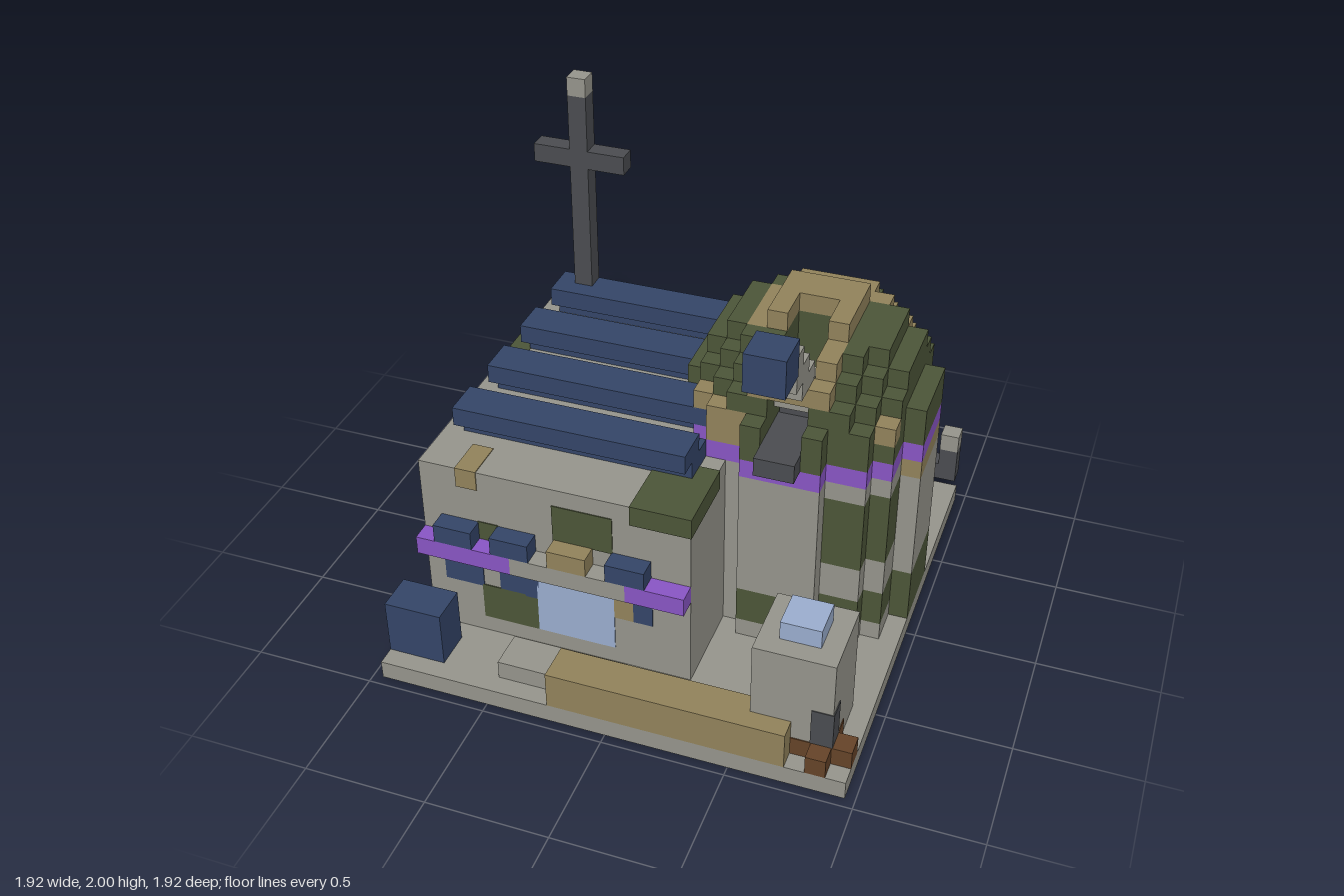
import * as THREE from 'three';
import { mergeGeometries } from 'three/addons/utils/BufferGeometryUtils.js';

const U = 0.08; // edge length of one block

export function createModel() {
  const model = new THREE.Group();
  model.name = 'observatory';
  const paint = (name, hex) => {
    const m = new THREE.MeshStandardMaterial({ color: hex });
    m.name = name;
    return m;
  };
  const grey = paint('stone grey', 0x97968d), olive = paint('moss green', 0x4d5639);
  const navy = paint('panel navy', 0x354669), tan = paint('weathered tan', 0x93845c);
  const brown = paint('wood brown', 0x664429), dark = paint('iron dark', 0x4b4d51);
  const purple = paint('purple', 0x8a56c6), blue = paint('pale blue', 0x9cafd0);

  const boxGeo = (x0, x1, y0, y1, z0, z1, grow = 0) =>
    new THREE.BoxGeometry(x1 - x0 + grow * 2, y1 - y0 + grow * 2, z1 - z0 + grow * 2)
      .translate((x0 + x1) / 2, (y0 + y1) / 2, (z0 + z1) / 2);
  const add = (name, mat, geo) => {
    const mesh = new THREE.Mesh(geo, mat);
    mesh.name = name;
    model.add(mesh);
  };
  const box = (name, mat, ...b) => add(name, mat, boxGeo(...b));
  // Painted patch: a box sunk into the wall, showing 0.004 proud of it
  const patch = (name, mat, ...b) => add(name, mat, boxGeo(...b, 0.004));

  // Ground slab and main hall
  box('ground slab', grey, -0.96, 0.96, 0, 0.08, -0.96, 0.96);
  box('hall', grey, -0.88, 0.24, 0.08, 0.88, -0.8, 0.64);

  // Moss and wear on the hall
  [
    [0, 0.24, 0.8, 0.88, 0.32, 0.64], [-0.32, -0.08, 0.64, 0.8, 0.6, 0.64],
    [-0.64, -0.4, 0.16, 0.32, 0.6, 0.64], [-0.64, -0.56, 0.56, 0.64, 0.6, 0.64],
    [0, 0.24, 0.64, 0.88, -0.8, -0.48], [-0.64, -0.32, 0.72, 0.88, -0.8, -0.72],
    [-0.48, -0.32, 0.48, 0.72, -0.8, -0.76], [-0.8, -0.64, 0.32, 0.56, -0.8, -0.76],
    [-0.88, -0.64, 0.72, 0.88, -0.48, -0.4], [-0.88, -0.8, 0.72, 0.88, -0.4, -0.16],
    [-0.32, -0.08, 0.84, 0.88, -0.16, -0.08], [-0.88, -0.84, 0.48, 0.64, 0.4, 0.56],
  ].forEach((b) => patch('moss', olive, ...b));
  patch('wall stain', tan, -0.72, -0.64, 0.8, 0.88, 0.48, 0.64);
  patch('door jamb', tan, -0.08, 0, 0.32, 0.48, 0.6, 0.64);
  patch('door', blue, -0.4, -0.08, 0.16, 0.48, 0.6, 0.64);

  // Front trim, windows and door lintel
  box('left trim', purple, -0.88, -0.48, 0.48, 0.56, 0.64, 0.72);
  box('right trim', purple, 0, 0.24, 0.48, 0.56, 0.64, 0.72);
  box('door lintel', grey, -0.48, 0, 0.48, 0.56, 0.64, 0.72);
  box('lintel block', tan, -0.32, -0.16, 0.56, 0.64, 0.64, 0.72);
  [[-0.8, -0.64], [-0.56, -0.4], [-0.08, 0.08]].forEach(([a, b]) => {
    box('window hood', navy, a, b, 0.56, 0.64, 0.64, 0.72);
    patch('window', navy, Math.max(a, a < -0.2 ? a : 0), b, 0.32, 0.48, 0.6, 0.64);
  });

  // Side windows
  [[-0.64, -0.48, tan], [-0.32, -0.24, navy], [-0.16, 0, navy], [0.08, 0.16, tan]].forEach(([a, b, m]) =>
    box('side window', m, -0.96, -0.88, 0.32, 0.64, a, b));
  box('side window', navy, -0.96, -0.88, 0.48, 0.64, 0.24, 0.4);
  box('side window base', tan, -0.96, -0.88, 0.32, 0.48, 0.24, 0.4);

  // Tilted roof panels, each two stepped layers
  for (let i = 0; i < 4; i++) {
    const z = -0.72 + i * 0.32;
    box('roof panel lower', navy, -0.8, 0.16, 0.88, 0.96, z, z + 0.16);
    box('roof panel upper', navy, -0.8, 0.16, 0.96, 1.04, z + 0.08, z + 0.24);
  }

  // Mast with crossbar
  box('mast', dark, -0.72, -0.64, 0.96, 1.92, -0.64, -0.56);
  box('mast tip', grey, -0.72, -0.64, 1.92, 2, -0.64, -0.56);
  box('left crossbar', dark, -0.88, -0.72, 1.6, 1.68, -0.64, -0.56);
  box('right crossbar', dark, -0.64, -0.48, 1.6, 1.68, -0.64, -0.56);

  // Round tower and dome: rows of blocks inside a circle, then a sphere
  const tanPatches = [
    [0.32, 0.64, 1.36, 1.44, -0.32, 0], [0.32, 0.64, 1.28, 1.36, -0.48, -0.32],
    [0.24, 0.32, 1.28, 1.36, -0.32, 0], [0.56, 0.64, 1.28, 1.36, 0, 0.16],
    [0.64, 0.72, 1.2, 1.36, -0.56, -0.32], [0.72, 0.8, 1.12, 1.28, -0.48, -0.32],
    [0.32, 0.64, 1.2, 1.28, 0.08, 0.24], [0.08, 0.32, 0.96, 1.12, 0.08, 0.32],
    [0.88, 0.96, 0.8, 0.88, -0.32, 0], [0.8, 0.88, 1.04, 1.12, 0.08, 0.16],
  ];
  const mossPatches = [
    [0.64, 0.88, 0.48, 0.8, 0, 0.24], [0.32, 0.56, 0.16, 0.32, 0.16, 0.32],
    [0.64, 0.96, 0.16, 0.32, 0, 0.32], [0.88, 0.96, 0.08, 0.32, -0.32, 0],
    [0.24, 0.48, 0.64, 0.88, -0.64, -0.56], [0.72, 0.88, 0.64, 0.88, -0.64, -0.48],
    [0.56, 0.8, 0.16, 0.4, -0.64, -0.48],
  ];
  const inside = (list, x, y, z) => list.some(([a, b, c, d, e, f]) =>
    x > a && x < b && y > c && y < d && z > e && z < f);
  const colourAt = (x, y, z) => {
    const h = Math.max(0, (y - 0.96) / U);
    if (((x - 0.48) / U) ** 2 + ((z + 0.16) / U) ** 2 + h * h >= 36) return null;
    const lintel = y > 1.2 && y < 1.28 && z > 0.16;
    if (y > 0.96 && Math.abs(x - 0.48) < U && z > -0.16 && !lintel) return null; // slit
    if (inside(tanPatches, x, y, z)) return tan;
    if (y > 0.96) return olive;
    if (y > 0.88) return purple;
    return inside(mossPatches, x, y, z) ? olive : grey;
  };
  const rows = new Map();
  for (let j = 1; j < 18; j++) for (let k = 0; k < 12; k++) {
    const y = j * U, z = -0.64 + k * U;
    let start = 0, last = null;
    for (let i = 0; i <= 12; i++) {
      const c = i < 12 ? colourAt((i + 0.5) * U, y + U / 2, z + U / 2) : null;
      if (c === last) continue;
      if (last) {
        if (!rows.has(last)) rows.set(last, []);
        rows.get(last).push(boxGeo(start * U, i * U, y, y + U, z, z + U));
      }
      start = i;
      last = c;
    }
  }
  const rowNames = new Map([[grey, 'tower wall'], [purple, 'tower band'], [olive, 'dome and tower moss'], [tan, 'dome wear']]);
  rows.forEach((list, mat) => add(rowNames.get(mat), mat, mergeGeometries(list)));

  // Telescope climbing out of the dome slit
  box('slit floor', dark, 0.4, 0.56, 0.96, 1.04, -0.16, 0.4);
  for (let i = 0; i < 6; i++) {
    const z = -0.08 + i * U, y = 0.96 + i * U;
    box('telescope tube', i < 2 ? dark : grey, 0.404, 0.556, y, y + 2 * U, z, z + U);
  }
  box('telescope head', navy, 0.4, 0.56, 1.44, 1.6, 0.4, 0.56);

  // Fence along the back and the left-hand side of the front view
  const fence = (count, place) => {
    for (let n = 0; n < count; n++) {
      if (n % 5 === 0) place('fence post', brown, n, 0.08, 0.4);
      else if (n % 2 === 0) place('fence rail', dark, n, 0.16, 0.24);
      else {
        place('fence picket', dark, n, 0.16, 0.32);
        place('fence cap', grey, n, 0.32, 0.4);
      }
    }
  };
  fence(24, (name, mat, n, y0, y1) =>
    box(name, mat, -0.96 + n * U, -0.88 + n * U, y0, y1, -0.96, -0.88));
  fence(17, (name, mat, n, y0, y1) =>
    box(name, mat, -0.957, -0.883, y0, y1, -0.88 + n * U, -0.8 + n * U));

  // Forecourt: crate, step, bench, pedestal and log pile
  box('crate', navy, -0.96, -0.72, 0.08, 0.32, 0.72, 0.88);
  box('door step', grey, -0.48, 0, 0.08, 0.16, 0.72, 0.88);
  box('bench', tan, -0.24, 0.72, 0.08, 0.24, 0.8, 0.96);
  box('pedestal', grey, 0.56, 0.88, 0.08, 0.56, 0.56, 0.88);
  box('pedestal lamp', blue, 0.64, 0.8, 0.56, 0.64, 0.64, 0.8);
  patch('log', brown, 0.724, 0.956, 0.08, 0.156, 0.8, 0.88);
  box('log', brown, 0.8, 0.88, 0.08, 0.16, 0.88, 0.96);
  patch('log', brown, 0.8, 0.88, 0.08, 0.156, 0.724, 0.88);
  patch('stove', dark, 0.8, 0.88, 0.16, 0.32, 0.8, 0.88);
  return model;
}
